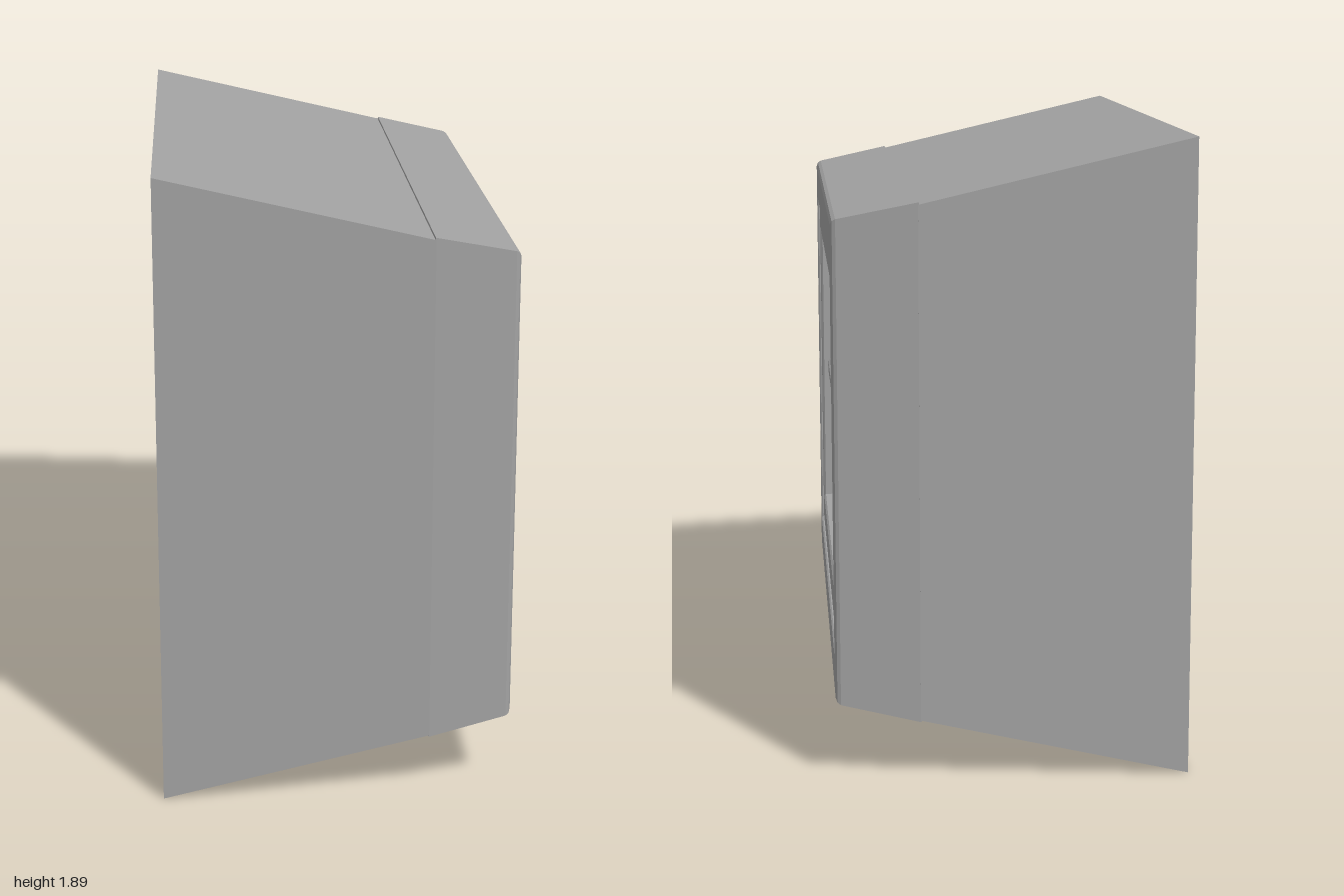
import * as THREE from 'three';

// Flat-faced skin through rectangular sections [x, yBottom, yTop, halfDepth],
// running from back to front and then inward across the front face.
function loft(sections, { capStart = false, capEnd = false } = {}) {
  const rings = sections.map(([x, y0, y1, h]) => [
    [x, y0, h], [x, y0, -h], [x, y1, -h], [x, y1, h],
  ]);
  const pos = [];
  const quad = (a, b, c, d) => pos.push(...a, ...b, ...c, ...a, ...c, ...d);
  for (let i = 0; i < rings.length - 1; i++) {
    const a = rings[i], b = rings[i + 1];
    for (let k = 0; k < 4; k++) {
      const n = (k + 1) % 4;
      quad(a[k], a[n], b[n], b[k]);
    }
  }
  const last = rings[rings.length - 1];
  if (capStart) quad(rings[0][3], rings[0][2], rings[0][1], rings[0][0]);
  if (capEnd) quad(...last);
  const geo = new THREE.BufferGeometry();
  geo.setAttribute('position', new THREE.Float32BufferAttribute(pos, 3));
  geo.computeVertexNormals();
  return geo;
}

export function createModel() {
  const group = new THREE.Group();
  const grey = new THREE.MeshStandardMaterial({ color: 0xa2a2a2 });
  grey.name = 'plain grey';
  const add = (name, geo) => {
    const mesh = new THREE.Mesh(geo, grey);
    mesh.name = name;
    group.add(mesh);
    return mesh;
  };

  // Tapered block behind the window
  add('body', loft([
    [-0.525, 0, 1.89, 1],
    [0.272, 0.186, 1.704, 1],
  ], { capStart: true, capEnd: true }));

  // Outer frame: sloping sides, softened front edge, thin groove at the inside
  add('outerFrame', loft([
    [0.268, 0.19, 1.70, 0.995],
    [0.27, 0.181, 1.711, 1],
    [0.505, 0.23, 1.662, 0.968],
    [0.515, 0.236, 1.656, 0.962],
    [0.52, 0.248, 1.644, 0.95],
    [0.52, 0.35, 1.542, 0.868],
    [0.515, 0.354, 1.538, 0.864],
    [0.485, 0.354, 1.538, 0.864],
    [0.485, 0.361, 1.531, 0.857],
  ]));

  // Sash with a small bevel stepping down to the glass
  add('sash', loft([
    [0.485, 0.361, 1.531, 0.857],
    [0.508, 0.361, 1.531, 0.857],
    [0.512, 0.365, 1.527, 0.853],
    [0.512, 0.459, 1.437, 0.756],
    [0.506, 0.465, 1.431, 0.75],
    [0.43, 0.465, 1.431, 0.75],
  ]));

  // Recessed glass
  add('glass', loft([[0.43, 0.465, 1.431, 0.75]], { capEnd: true }));

  // Cross bars with bevelled fronts
  const bar = (name, y0, y1, h) => add(name, loft([
    [0.43, y0, y1, h],
    [0.485, y0, y1, h],
    [0.492, y0 + 0.006, y1 - 0.006, h - 0.006],
  ], { capEnd: true }));
  bar('uprightBar', 0.465, 1.431, 0.022);
  bar('crossBar', 0.923, 0.967, 0.75);

  return group;
}
